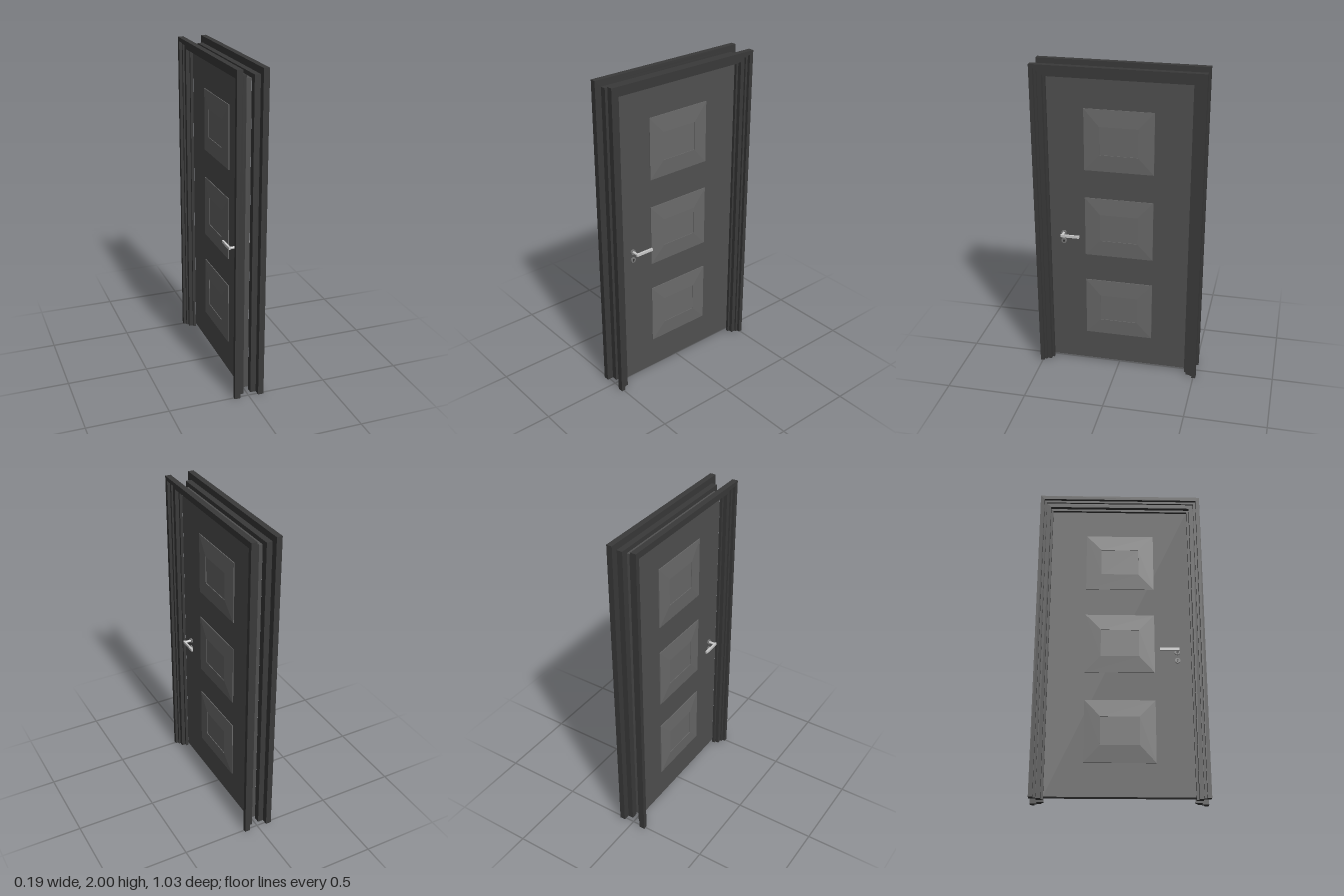
import * as THREE from 'three';

const mat = (color) => new THREE.MeshStandardMaterial({ color });
const frameMat = mat(0x3a3a3a), slabMat = mat(0x505050), panelMat = mat(0x696969);
const metalMat = mat(0xcccccc), darkMetalMat = mat(0x777777), holeMat = mat(0x222222);

function add(parent, name, geometry, material, x = 0, y = 0, z = 0) {
  const mesh = new THREE.Mesh(geometry, material);
  mesh.name = name;
  mesh.position.set(x, y, z);
  parent.add(mesh);
  return mesh;
}

// Upside-down U running up both posts and across the head, from x0 to x1
function archBand(outer, inner, x0, x1) {
  const rise = 1.485;
  const shape = new THREE.Shape([
    [-outer, 0], [-inner, 0], [-inner, rise + inner], [inner, rise + inner],
    [inner, 0], [outer, 0], [outer, rise + outer], [-outer, rise + outer],
  ].map(([a, b]) => new THREE.Vector2(a, b)));
  const g = new THREE.ExtrudeGeometry(shape, { depth: x1 - x0, bevelEnabled: false });
  return g.rotateY(Math.PI / 2).translate(x0, 0, 0);
}

// Rectangular rings [halfWidth, halfHeight, depth] joined in order and capped
function steppedPanel(rings) {
  const pos = [], index = [];
  for (const [w, h, d] of rings) pos.push(-w, -h, d, w, -h, d, w, h, d, -w, h, d);
  for (let r = 0; r < rings.length - 1; r++) {
    for (let i = 0; i < 4; i++) {
      const a = r * 4 + i, b = r * 4 + (i + 1) % 4;
      index.push(a, b, b + 4, a, b + 4, a + 4);
    }
  }
  const c = (rings.length - 1) * 4;
  index.push(c, c + 1, c + 2, c, c + 2, c + 3);
  const g = new THREE.BufferGeometry();
  g.setAttribute('position', new THREE.Float32BufferAttribute(pos, 3));
  g.setIndex(index);
  const flat = g.toNonIndexed();
  flat.computeVertexNormals();
  return flat;
}

// Disc or rod lying along x
const rod = (radius, length) =>
  new THREE.CylinderGeometry(radius, radius, length, 24).rotateZ(Math.PI / 2);

export function createModel() {
  const door = new THREE.Group();
  door.name = 'door';

  // Leaf, raised slightly off the floor
  add(door, 'leaf', new THREE.BoxGeometry(0.042, 1.915, 0.874), slabMat, 0, 0.9775, 0);

  // Stepped casing: outer half-width, inner half-width, x from, x to
  const bands = [
    [0.515, 0.49, 0.058, 0.093],
    [0.49, 0.475, 0.058, 0.075],
    [0.475, 0.448, 0.023, 0.064],
    [0.448, 0.434, 0.023, 0.04],
  ];

  for (const side of [1, -1]) {
    const name = side > 0 ? 'left' : 'right';

    const casing = new THREE.Group();
    casing.name = name + 'Casing';
    door.add(casing);
    for (const [outer, inner, x0, x1] of bands) {
      const [a, b] = side > 0 ? [x0, x1] : [-x1, -x0];
      add(casing, 'casingStep', archBand(outer, inner, a, b), frameMat);
    }

    // Three bevelled panels with a sunken middle
    for (const y of [0.413, 0.977, 1.543]) {
      const panel = steppedPanel([
        [0.212, 0.193, 0.018], [0.212, 0.193, 0.026],
        [0.117, 0.088, 0.033], [0.117, 0.088, 0.029],
      ]);
      add(door, name + 'Panel', panel, panelMat, 0, y, 0).rotation.y = side * Math.PI / 2;
    }

    // Lever handle, rose and keyhole plate
    const handle = new THREE.Group();
    handle.name = name + 'Handle';
    door.add(handle);
    const z = 0.35;
    add(handle, 'rose', rod(0.017, 0.008), darkMetalMat, side * 0.025, 0.92, z);
    add(handle, 'neck', rod(0.008, 0.052), metalMat, side * 0.047, 0.92, z);
    add(handle, 'lever', new THREE.BoxGeometry(0.012, 0.016, 0.118), metalMat, side * 0.071, 0.92, 0.3);
    add(handle, 'keyPlate', rod(0.017, 0.008), darkMetalMat, side * 0.025, 0.866, z);
    add(handle, 'keyhole', rod(0.005, 0.002), holeMat, side * 0.0295, 0.869, z);
    add(handle, 'keySlot', new THREE.BoxGeometry(0.002, 0.012, 0.004), holeMat, side * 0.0295, 0.862, z);
  }

  return door;
}
